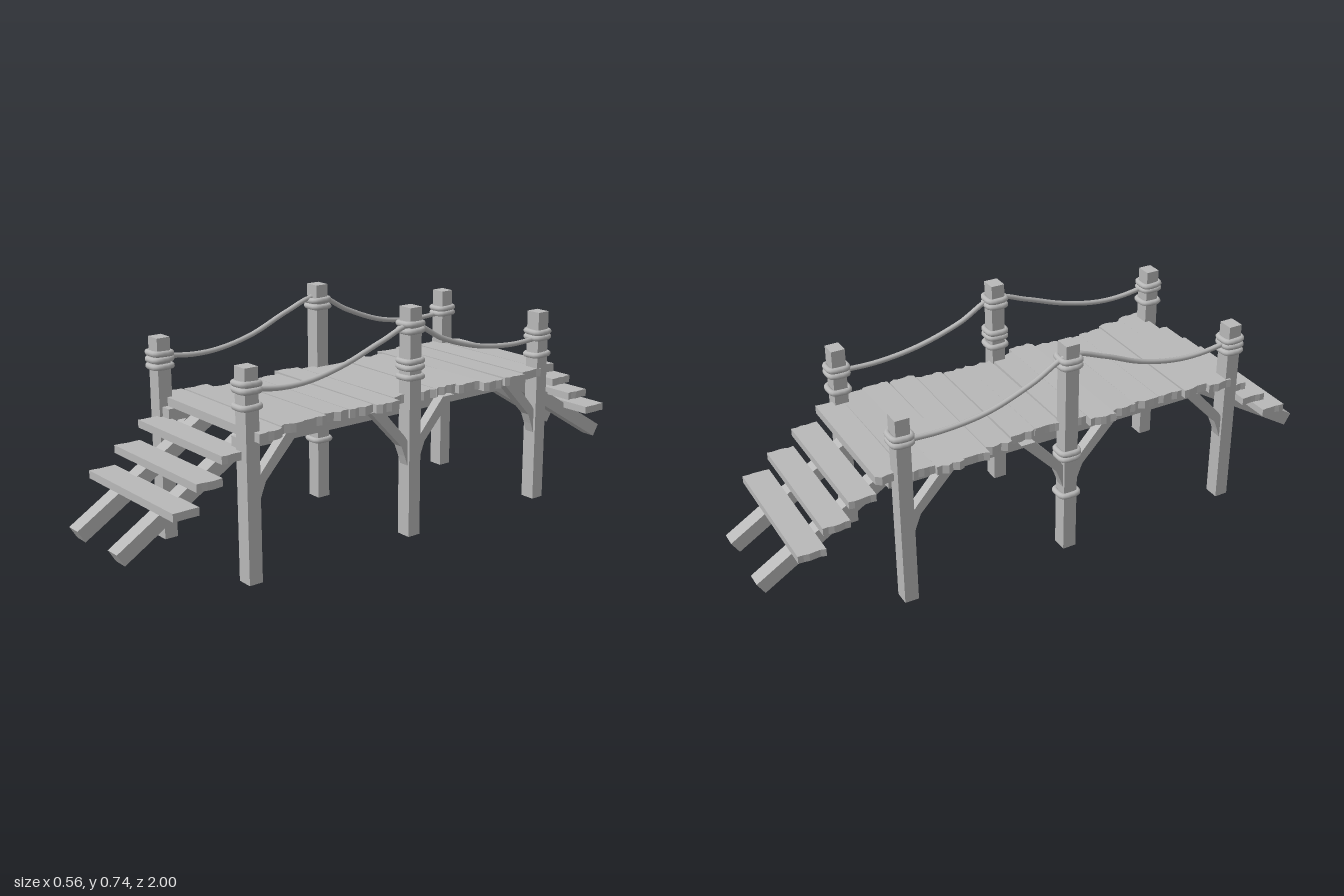
import * as THREE from 'three';

const wood = new THREE.MeshStandardMaterial({ color: 0xb8b8b8 });
wood.name = 'plain grey';

// Small seeded generator, returns -1..1
let seed = 7;
const rnd = () => {
  seed = (seed * 16807) % 2147483647;
  return (seed / 2147483647) * 2 - 1;
};

function add(group, name, geometry, x = 0, y = 0, z = 0) {
  const mesh = new THREE.Mesh(geometry, wood);
  mesh.name = name;
  mesh.position.set(x, y, z);
  group.add(mesh);
  return mesh;
}

// Board lying flat, with splintered ends
function plankGeometry(x0, x1, width, thick, rough) {
  const shape = new THREE.Shape();
  const n = 5, h = width / 2;
  for (let i = 0; i <= n; i++) {
    const px = x1 - rough * (0.5 + 0.5 * rnd()), py = -h + (width * i) / n;
    if (i === 0) shape.moveTo(px, py);
    else shape.lineTo(px, py);
  }
  for (let i = n; i >= 0; i--) {
    shape.lineTo(x0 + rough * (0.5 + 0.5 * rnd()), -h + (width * i) / n);
  }
  const g = new THREE.ExtrudeGeometry(shape, { depth: thick, bevelEnabled: false });
  return g.rotateX(-Math.PI / 2);
}

// One turn of rope hugging a square post
function coilGeometry() {
  const pts = [];
  const r = 0.031;
  for (let i = 0; i < 16; i++) {
    const a = (i / 16) * Math.PI * 2;
    const c = Math.cos(a), s = Math.sin(a);
    const k = r / Math.pow(c ** 4 + s ** 4, 0.25);
    pts.push(new THREE.Vector3(c * k, 0, s * k));
  }
  return new THREE.TubeGeometry(new THREE.CatmullRomCurve3(pts, true), 32, 0.0098, 10, true);
}

// Curved knee brace: starts at the post face and rises along +z
function braceGeometry(width) {
  const s = new THREE.Shape();
  s.moveTo(0, 0.235);
  s.lineTo(0.012, 0.27);
  s.lineTo(0.026, 0.305);
  s.lineTo(0.15, 0.436);
  s.lineTo(0.102, 0.436);
  s.lineTo(0.012, 0.335);
  s.lineTo(-0.005, 0.31);
  s.lineTo(-0.005, 0.235);
  const g = new THREE.ExtrudeGeometry(s, { depth: width, bevelEnabled: false });
  return g.translate(0, 0, -width / 2).rotateY(-Math.PI / 2);
}

export function createModel() {
  seed = 7;
  const model = new THREE.Group();
  model.name = 'footbridge';

  const postX = { left: 0.231, right: -0.241 };
  const postZ = { front: 0.617, middle: 0.007, back: -0.557 };
  const postH = { front: 0.652, middle: 0.742, back: 0.652 };
  const coils = {
    leftfront: [0.603, 0.585, 0.536],
    leftmiddle: [0.69, 0.669, 0.573, 0.554, 0.522],
    leftback: [0.585, 0.566, 0.507],
    rightfront: [0.602, 0.583, 0.561],
    rightmiddle: [0.69, 0.669, 0.363, 0.345, 0.207],
    rightback: [0.59, 0.571],
  };

  // Posts with rope turns and knee braces
  const coil = coilGeometry();
  const brace = braceGeometry(0.034);
  for (const side of ['left', 'right']) {
    for (const place of ['front', 'middle', 'back']) {
      const x = postX[side], z = postZ[place], h = postH[place];
      add(model, 'post', new THREE.BoxGeometry(0.052, h, 0.046), x, h / 2, z);
      for (const y of coils[side + place]) {
        const turn = add(model, 'ropeCoil', coil, x, y, z);
        turn.rotation.set(rnd() * 0.05, 0, rnd() * 0.05);
      }
      if (place !== 'back') {
        const b = add(model, 'kneeBrace', brace, x, 0, z - 0.022);
        b.rotation.y = Math.PI;
      }
      if (place !== 'front') add(model, 'kneeBrace', brace, x, 0, z + 0.022);
    }
  }

  // Long beams under the deck
  for (const x of [-0.197, 0.185]) {
    add(model, 'deckBeam', new THREE.BoxGeometry(0.038, 0.038, 1.22), x, 0.416, 0.02);
  }

  // Deck planks, half lengths from back to front
  const halves = [0.24, 0.265, 0.278, 0.276, 0.25, 0.236, 0.235, 0.24, 0.272, 0.25, 0.245, 0.25, 0.265, 0.283];
  const pitch = 0.0892;
  halves.forEach((half, i) => {
    const g = plankGeometry(-half - 0.003, half, pitch - 0.002, 0.028, 0.014);
    const p = add(model, 'deckPlank', g, 0, 0.434 + rnd() * 0.003, -0.592 + i * pitch);
    p.rotation.set(rnd() * 0.02, rnd() * 0.008, rnd() * 0.006);
  });

  // Stairs at both ends: two sloping stringers and three treads
  for (const dir of [1, -1]) {
    for (const x of [-0.122, 0.11]) {
      const s = add(model, 'stairStringer', new THREE.BoxGeometry(0.051, 0.046, 0.53), x, 0.2695, dir * 0.7615);
      s.rotation.x = dir * 0.55;
    }
    const offset = dir > 0 ? 0 : 0.017;
    for (let i = 0; i < 3; i++) {
      const half = i === 0 ? 0.244 : 0.236;
      const g = plankGeometry(-half, half, 0.087, 0.025, 0.006);
      add(model, 'stairTread', g, 0, 0.25 + i * 0.0645, dir * (0.834 - i * 0.0855 + offset));
    }
  }

  // Sagging hand ropes, knotted at the posts
  const sag = [
    [0.62, 0.592], [0.5, 0.576], [0.4, 0.579], [0.27, 0.607], [0.13, 0.664], [0.007, 0.7],
    [-0.12, 0.638], [-0.27, 0.583], [-0.42, 0.564], [-0.557, 0.568],
  ];
  for (const [x, drop] of [[0.238, 0.014], [-0.246, 0]]) {
    const pts = sag.map(([z, y]) => new THREE.Vector3(x, y - drop * (Math.abs(z) < 0.2 ? 1 : 0.4), z));
    const curve = new THREE.CatmullRomCurve3(pts);
    add(model, 'handRope', new THREE.TubeGeometry(curve, 48, 0.0085, 8, false));
  }

  return model;
}
